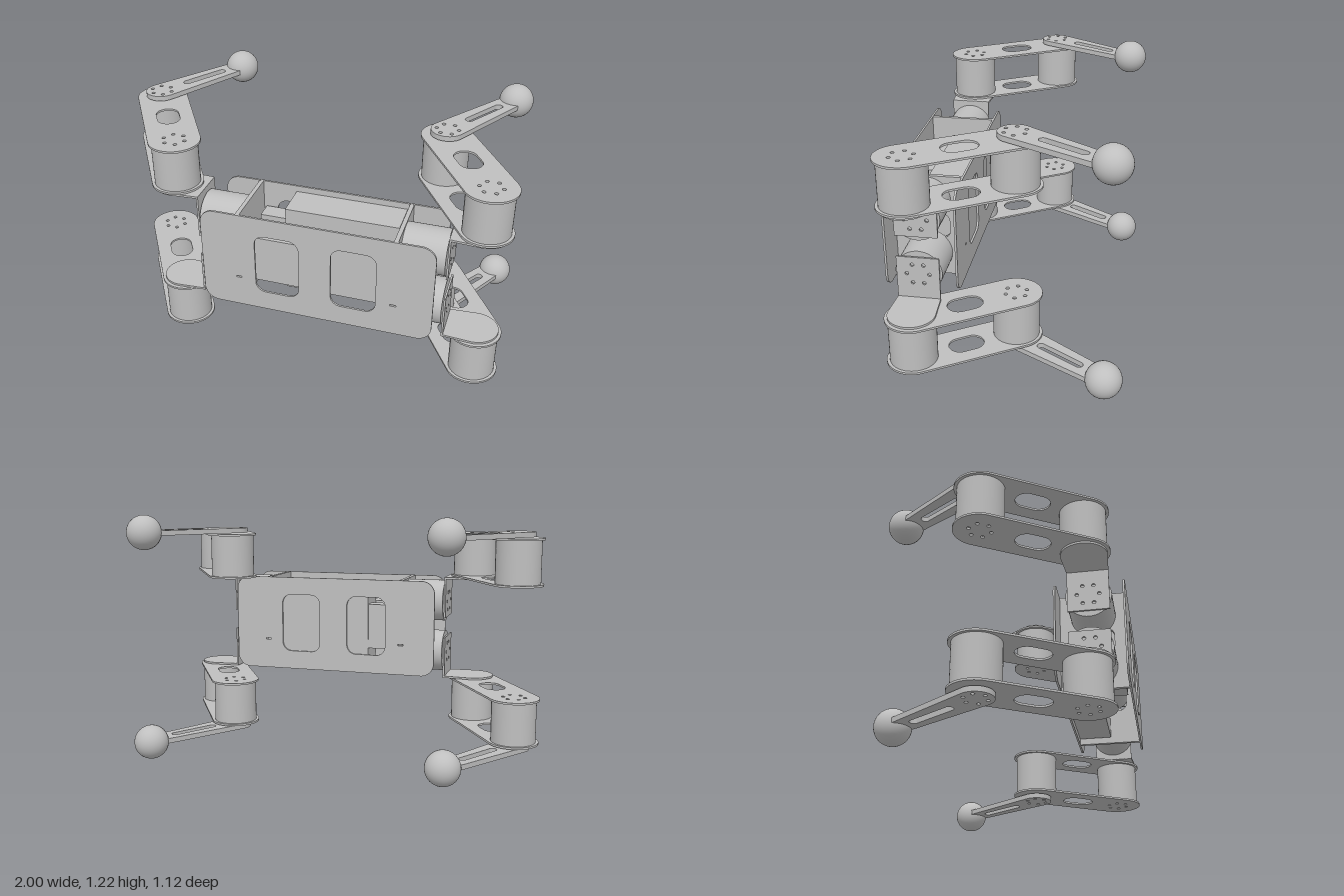
import * as THREE from 'three';

const MID_Y = 0.61;   // legs mirror above and below this height
const MID_X = 0.13;   // body centre
const HIP_Z = 0.39;

export function createModel() {
  const root = new THREE.Group();
  const grey = new THREE.MeshStandardMaterial({ color: 0xbfbfbf });
  grey.name = 'grey';

  const add = (parent, name, geometry, x = 0, y = 0, z = 0) => {
    const mesh = new THREE.Mesh(geometry, grey);
    mesh.name = name;
    mesh.position.set(x, y, z);
    parent.add(mesh);
    return mesh;
  };

  // Extrudes a shape so that its thickness is centred on its plane
  const sheet = (shape, t) => new THREE.ExtrudeGeometry(shape,
    { depth: t, bevelEnabled: false, curveSegments: 16 }).translate(0, 0, -t / 2);
  const flat = (shape, t) => sheet(shape, t).rotateX(Math.PI / 2);      // shape in (x, z)
  const upright = (shape, t) => sheet(shape, t).rotateY(-Math.PI / 2);  // shape in (z, y)

  // Outline round two circles of different radius
  const link = (ax, ay, ra, bx, by, rb) => {
    const t = Math.atan2(by - ay, bx - ax);
    const a = Math.acos((ra - rb) / Math.hypot(bx - ax, by - ay));
    const s = new THREE.Shape();
    s.absarc(ax, ay, ra, t + a, t - a + 2 * Math.PI, false);
    s.absarc(bx, by, rb, t - a, t + a, false);
    s.closePath();
    return s;
  };

  const roundRect = (x0, y0, x1, y1, r) => {
    const s = new THREE.Shape();
    s.absarc(x1 - r, y1 - r, r, 0, Math.PI / 2, false);
    s.absarc(x0 + r, y1 - r, r, Math.PI / 2, Math.PI, false);
    s.absarc(x0 + r, y0 + r, r, Math.PI, 1.5 * Math.PI, false);
    s.absarc(x1 - r, y0 + r, r, 1.5 * Math.PI, 2 * Math.PI, false);
    s.closePath();
    return s;
  };

  // Ring of six bolt holes
  const boltHoles = (shape, x, y) => {
    for (let i = 0; i < 6; i++) {
      const a = i * Math.PI / 3;
      const h = new THREE.Path();
      h.absarc(x + 0.053 * Math.cos(a), y + 0.053 * Math.sin(a), 0.009, 0, 2 * Math.PI, true);
      shape.holes.push(h);
    }
  };

  // Body: front and back plates with two windows each
  const body = new THREE.Group();
  body.name = 'body';
  root.add(body);
  const plate = roundRect(-0.43, 0.355, 0.69, 0.865, 0.07);
  plate.holes.push(
    roundRect(-0.163, 0.455, 0.052, 0.77, 0.05),
    roundRect(0.207, 0.455, 0.423, 0.77, 0.05),
    roundRect(-0.263, 0.514, -0.233, 0.522, 0.003),
    roundRect(0.491, 0.514, 0.521, 0.522, 0.003));
  add(body, 'frontPlate', sheet(plate, 0.01), 0, 0, 0.555);
  add(body, 'backPlate', sheet(plate, 0.01), 0, 0, 0.221);

  // Cross walls between the plates
  for (const x of [-0.245, 0.505]) {
    const wall = roundRect(0.226, 0.355, 0.55, 0.865, 0.002);
    wall.holes.push(roundRect(0.288, 0.545, 0.49, 0.675, 0.04));
    add(body, 'crossWall', upright(wall, 0.02), x);
  }

  // Boxes inside the body
  add(body, 'mainBox', new THREE.BoxGeometry(0.55, 0.45, 0.17), 0.21, MID_Y, 0.312);
  add(body, 'frontBox', new THREE.BoxGeometry(0.37, 0.24, 0.11), -0.025, MID_Y, 0.465);
  add(body, 'smallBox', new THREE.BoxGeometry(0.155, 0.24, 0.085), -0.142, MID_Y, 0.277);

  // d: +1 when the body lies towards +x of the hip; s: +1 upper, -1 lower
  const buildLeg = (d, s) => {
    const leg = new THREE.Group();
    leg.name = (s > 0 ? 'upper' : 'lower') + (d > 0 ? 'Right' : 'Left') + 'Leg';
    root.add(leg);
    const hx = MID_X - d * 0.742;
    const kx = hx - 0.27, kz = -0.04;
    const bx = hx, bz = -0.477;
    const Y = (off) => MID_Y + s * off;

    // Shoulder motor beside the body
    add(leg, 'shoulderMotor', new THREE.CylinderGeometry(0.11, 0.11, 0.212, 48).rotateZ(Math.PI / 2),
      MID_X - d * 0.484, Y(0.138), HIP_Z);

    // Angle bracket from shoulder motor to hip
    const edge = hx + d * 0.145;
    const shelf = new THREE.Shape();
    if (d > 0) shelf.absarc(hx, HIP_Z, 0.11, Math.PI / 2, 1.5 * Math.PI, false);
    else shelf.absarc(hx, HIP_Z, 0.11, -Math.PI / 2, Math.PI / 2, false);
    shelf.lineTo(edge, HIP_Z - d * 0.1);
    shelf.lineTo(edge, HIP_Z + d * 0.1);
    shelf.closePath();
    add(leg, 'bracketShelf', flat(shelf, 0.01), 0, Y(0.267));
    const y0 = Math.min(Y(0.053), Y(0.271)), y1 = Math.max(Y(0.053), Y(0.271));
    const face = roundRect(HIP_Z - 0.1, y0, HIP_Z + 0.1, y1, 0.002);
    boltHoles(face, HIP_Z, Y(0.138));
    add(leg, 'bracketFace', upright(face, 0.009), edge - d * 0.004);
    add(leg, 'hipSpacer', new THREE.CylinderGeometry(0.09, 0.09, 0.006, 32), hx, Y(0.274), HIP_Z);

    // Hip and knee motors
    const motor = new THREE.CylinderGeometry(0.11, 0.11, 0.21, 48);
    add(leg, 'hipMotor', motor, hx, Y(0.39), HIP_Z);
    add(leg, 'kneeMotor', motor, kx, Y(0.39), kz);

    // Thigh plates with an oval window
    for (const outer of [true, false]) {
      const thigh = link(hx, HIP_Z, 0.124, kx, kz, 0.124);
      const mx = (hx + kx) / 2, mz = (HIP_Z + kz) / 2;
      thigh.holes.push(link(mx - 0.016, mz - 0.025, 0.055, mx + 0.016, mz + 0.025, 0.055));
      if (outer) boltHoles(thigh, hx, HIP_Z);
      else boltHoles(thigh, kx, kz);
      add(leg, outer ? 'outerThighPlate' : 'innerThighPlate', flat(thigh, 0.01),
        0, Y(outer ? 0.5 : 0.28));
    }

    // Slotted shin and ball foot
    const shin = link(kx, kz, 0.08, bx, bz, 0.055);
    const at = (f) => [kx + (bx - kx) * f, kz + (bz - kz) * f];
    shin.holes.push(link(...at(0.3), 0.02, ...at(0.73), 0.02));
    boltHoles(shin, kx, kz);
    add(leg, 'shin', flat(shin, 0.025), 0, Y(0.522));
    add(leg, 'footBall', new THREE.SphereGeometry(0.085, 40, 28), bx, Y(0.525), bz);
  };

  for (const d of [1, -1]) for (const s of [1, -1]) buildLeg(d, s);
  return root;
}
